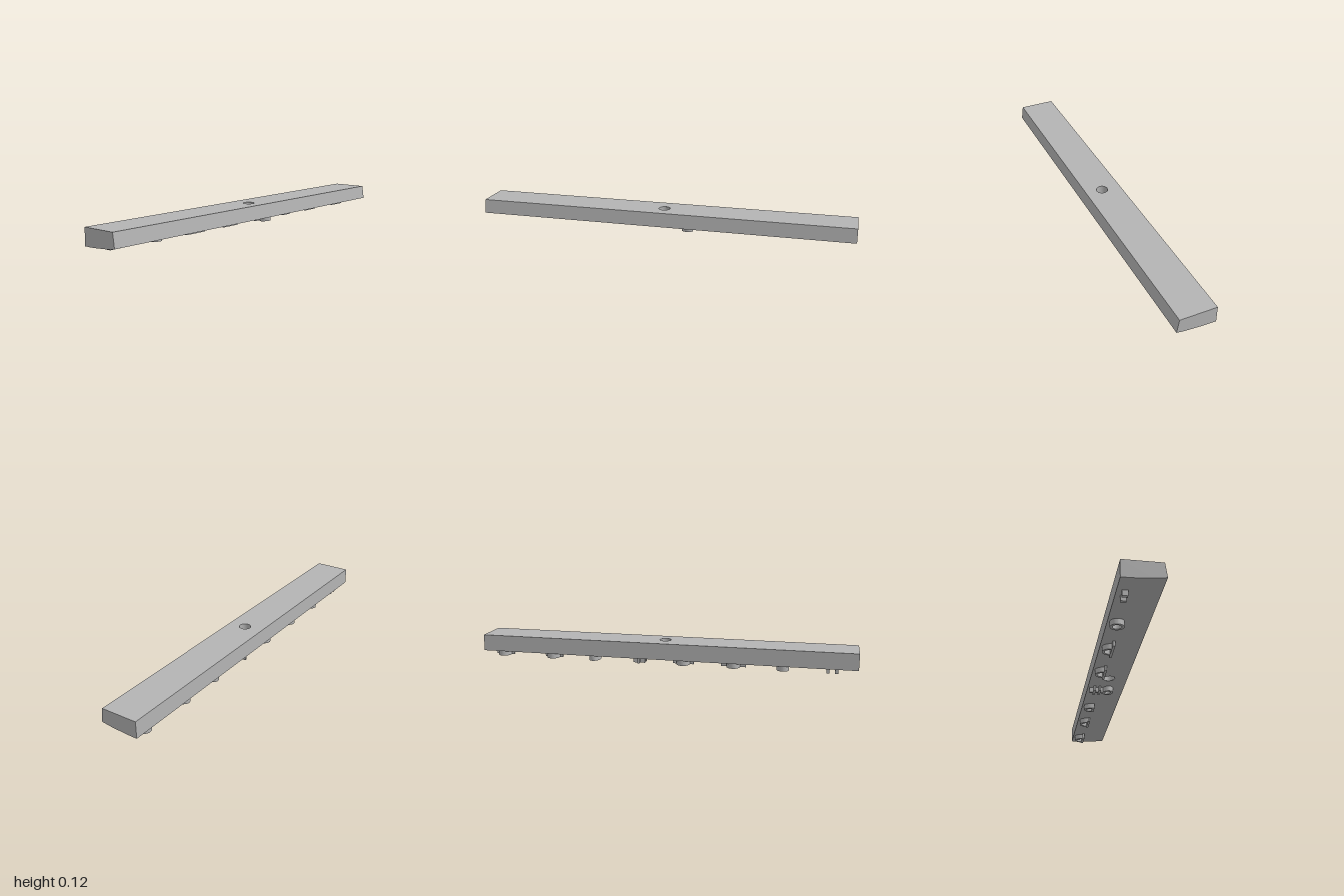
import * as THREE from 'three';

// height of the gently curved underside at a given x
const under = (x) => 0.028 + 0.014 * ((x + 0.08) / 0.18) ** 2;
const TOP = 0.115, HOLE = 0.03, RELIEF = 0.028;

function rect(x0, x1, z0, z1) {
  return new THREE.Shape([[x0, z0], [x1, z0], [x1, z1], [x0, z1]].map((p) => new THREE.Vector2(...p)));
}

function ellipse(x, z, rx, rz, path = new THREE.Shape()) {
  path.absellipse(x, z, rx, rz, 0, Math.PI * 2, false);
  return path;
}

function ring(x, z, rx, rz, wall = 0.012) {
  const s = ellipse(x, z, rx, rz);
  s.holes.push(ellipse(x, z, rx - wall, rz - wall, new THREE.Path()));
  return s;
}

// half ring bulging towards -x
function arch(x, z, rx, rz, wall = 0.012) {
  const s = new THREE.Shape();
  s.absellipse(x, z, rx, rz, Math.PI / 2, Math.PI * 1.5, false);
  s.absellipse(x, z, rx - wall, rz - wall, Math.PI * 1.5, Math.PI / 2, true);
  return s;
}

// move every vertex to the height given by rule(x, y, z)
function setHeight(geo, rule) {
  const p = geo.attributes.position;
  for (let i = 0; i < p.count; i++) p.setY(i, rule(p.getX(i), p.getY(i), p.getZ(i)));
  geo.computeVertexNormals();
  return geo;
}

export function createModel() {
  const model = new THREE.Group();
  const grey = new THREE.MeshStandardMaterial({ color: 0xb4b4b4, side: THREE.DoubleSide });
  grey.name = 'grey';
  const add = (name, geo, parent = model) => {
    const mesh = new THREE.Mesh(geo, grey);
    mesh.name = name;
    parent.add(mesh);
    return mesh;
  };

  // bar: top face with the hole
  const bar = new THREE.Group();
  bar.name = 'bar';
  model.add(bar);
  const hole = () => ellipse(0, 0, HOLE, HOLE, new THREE.Path());
  const top = rect(-0.1, 0.09, -1, 1);
  top.holes.push(hole());
  add('topFace', new THREE.ShapeGeometry(top, 24).rotateX(-Math.PI / 2).translate(0, TOP, 0), bar);

  // curved underside in lengthwise strips, the middle one pierced
  const cuts = [-0.1, -0.07, -0.04, 0.04, 0.06, 0.08, 0.1];
  for (let i = 0; i < cuts.length - 1; i++) {
    const strip = rect(cuts[i], cuts[i + 1], -1, 1);
    if (cuts[i] < 0 && cuts[i + 1] > 0) strip.holes.push(hole());
    add('underside', setHeight(new THREE.ShapeGeometry(strip, 24).rotateX(Math.PI / 2), under), bar);
  }

  // end faces
  const profile = new THREE.Shape();
  profile.moveTo(-0.1, TOP);
  cuts.forEach((x) => profile.lineTo(x, under(x)));
  profile.lineTo(0.09, TOP);
  for (const z of [1, -1]) {
    const end = new THREE.ShapeGeometry(profile);
    if (z < 0) end.setIndex([...end.index.array].reverse());
    end.translate(0, 0, z);
    end.computeVertexNormals();
    add(z > 0 ? 'frontEnd' : 'backEnd', end, bar);
  }

  // long sides, the +x one leaning inward at the top
  for (const side of [1, -1]) {
    const plane = new THREE.PlaneGeometry(2, 1).rotateY(side * Math.PI / 2);
    const p = plane.attributes.position;
    for (let i = 0; i < p.count; i++) {
      const upper = p.getY(i) > 0;
      p.setX(i, side < 0 ? -0.1 : upper ? 0.09 : 0.1);
      p.setY(i, upper ? TOP : under(0.1 * side));
    }
    plane.computeVertexNormals();
    add(side > 0 ? 'leftSide' : 'rightSide', plane, bar);
  }

  // bore wall, facing inward
  const bore = new THREE.CylinderGeometry(HOLE, HOLE, 1, 32, 1, true).scale(-1, 1, 1);
  add('boreWall', setHeight(bore, (x, y) => (y > 0 ? TOP : under(x))), bar);

  // raised relief pieces following the underside
  const relief = new THREE.Group();
  relief.name = 'undersideRelief';
  model.add(relief);
  const raise = (name, shape) => {
    const geo = new THREE.ExtrudeGeometry(shape, { depth: 1, bevelEnabled: false, curveSegments: 16 });
    geo.rotateX(Math.PI / 2);
    add(name, setHeight(geo, (x, y) => under(x) + (y > -0.5 ? 0.002 : -RELIEF)), relief);
  };

  // pair of small pegs and a round boss
  for (const z of [0.894, 0.851]) raise('peg', rect(-0.077, -0.05, z - 0.008, z + 0.008));
  raise('roundBoss', ring(-0.055, 0.625, 0.034, 0.031));

  // rails with an arched loop: [centre z, length]
  for (const [z, length] of [[0.37, 0.13], [0.105, 0.11], [-0.38, 0.06], [-0.615, 0.1], [-0.9, 0.1]]) {
    raise('rail', rect(-0.046, -0.034, z - length / 2, z + length / 2));
    raise('loop', arch(-0.046, z, 0.044, Math.min(0.036, length / 2)));
  }

  // crosswise rib cluster
  raise('clusterLoop', ring(0.01, -0.128, 0.028, 0.03));
  raise('clusterSpine', rect(-0.09, -0.016, -0.134, -0.122));
  for (const x of [-0.036, -0.064]) raise('clusterRib', rect(x - 0.006, x + 0.006, -0.16, -0.096));

  return model;
}
